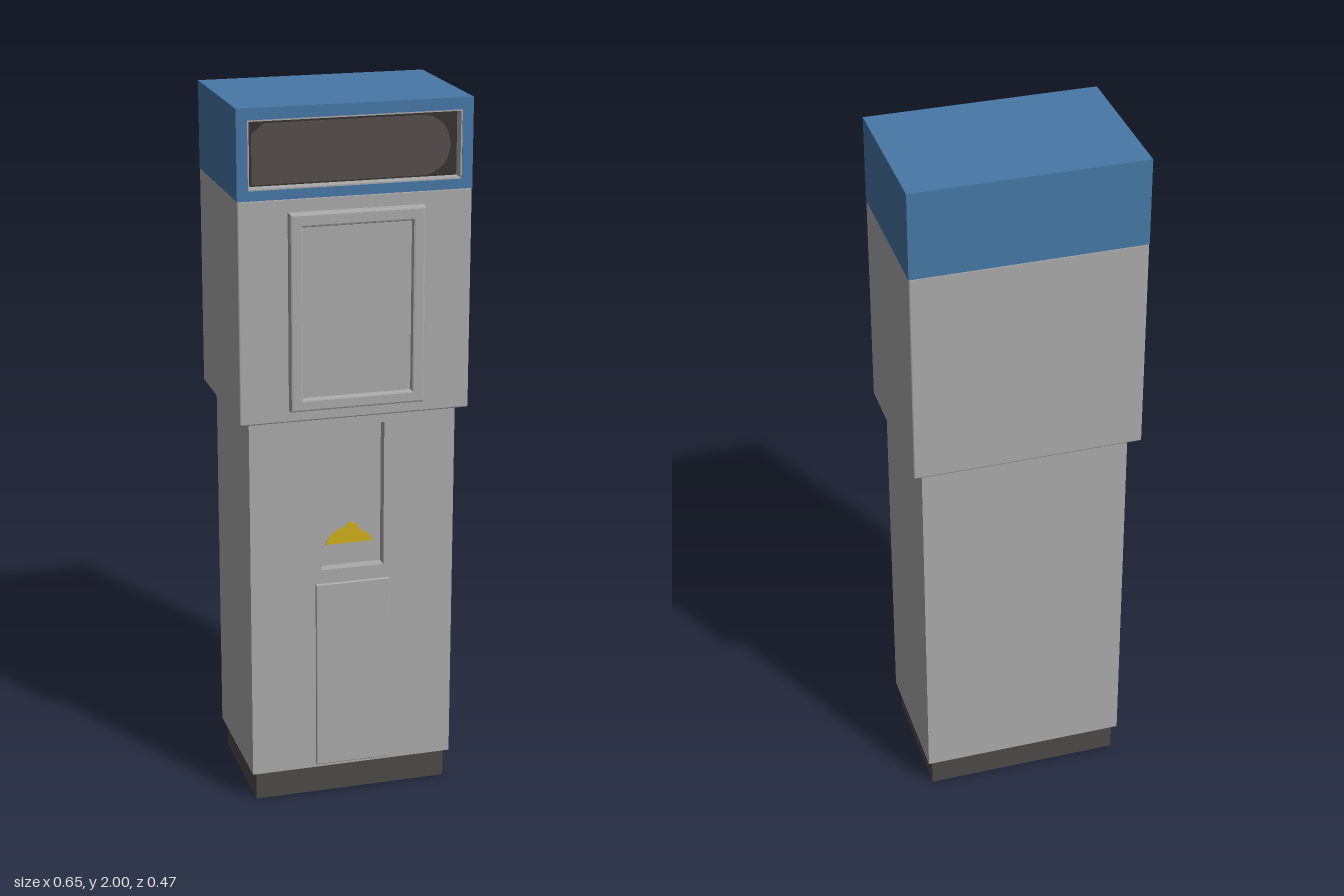
import * as THREE from 'three';
import { RoundedBoxGeometry } from 'three/addons/geometries/RoundedBoxGeometry.js';

const mat = (name, color) => {
  const m = new THREE.MeshStandardMaterial({ color });
  m.name = name;
  return m;
};

export function createModel() {
  const group = new THREE.Group();
  const grey = mat('light grey metal', 0xaaaaaa);
  const blue = mat('blue paint', 0x4678a6);
  const dark = mat('dark plinth', 0x4c4a47);
  const black = mat('screen surround', 0x36332f);
  const glass = mat('screen glass', 0x544e4c);
  const yellow = mat('yellow sign', 0xcfae1a);

  const add = (name, geometry, material) => {
    const mesh = new THREE.Mesh(geometry, material);
    mesh.name = name;
    group.add(mesh);
    return mesh;
  };
  // Box given by its limits, optionally with softened edges
  const box = (name, material, [x0, x1], [y0, y1], [z0, z1], r = 0) => {
    const s = [x1 - x0, y1 - y0, z1 - z0];
    const g = r ? new RoundedBoxGeometry(...s, 2, r) : new THREE.BoxGeometry(...s);
    g.translate((x0 + x1) / 2, (y0 + y1) / 2, (z0 + z1) / 2);
    return add(name, g, material);
  };
  const rect = (Type, [x0, x1], [y0, y1]) => new Type([
    new THREE.Vector2(x0, y0), new THREE.Vector2(x1, y0),
    new THREE.Vector2(x1, y1), new THREE.Vector2(x0, y1)]);
  // Upright plate with a rectangular opening
  const frame = (name, material, ox, oy, ix, iy, [z0, z1], bevel = 0) => {
    const s = rect(THREE.Shape, ox, oy);
    s.holes.push(rect(THREE.Path, ix, iy));
    const g = new THREE.ExtrudeGeometry(s, {
      depth: z1 - z0 - bevel, bevelEnabled: bevel > 0,
      bevelSize: bevel, bevelThickness: bevel, bevelOffset: -bevel, bevelSegments: 2 });
    g.translate(0, 0, z0);
    return add(name, g, material);
  };

  // Hollow plinth and column: four walls each, open below
  const walls = (name, material, hx, y, z0, z1, inX, inZ0, inZ1, withFront) => {
    for (const s of [-1, 1]) {
      box(name + 'Side', material, s < 0 ? [-hx, -inX] : [inX, hx], y, [z0, z1]);
    }
    box(name + 'Back', material, [-inX, inX], y, [z0, inZ0]);
    if (withFront) box(name + 'Front', material, [-inX, inX], y, [inZ1, z1]);
  };
  walls('plinth', dark, 0.28, [0, 0.085], -0.19, 0.17, 0.245, -0.155, 0.135, true);
  walls('column', grey, 0.293, [0.085, 1.14], -0.203, 0.185, 0.245, -0.155, 0.135, false);

  // Column front with a sunken niche
  frame('columnFront', grey, [-0.245, 0.245], [0.085, 1.14], [-0.09, 0.09], [0.69, 1.11], [0.135, 0.185]);
  box('nicheBack', grey, [-0.09, 0.09], [0.69, 1.11], [0.136, 0.152]);

  // Warning sign on the niche back
  const sign = new THREE.Shape([[-0.07, 0.752], [0.066, 0.752], [0.06, 0.77], [0.03, 0.79],
    [0.018, 0.808], [0, 0.815], [-0.016, 0.8], [-0.035, 0.793], [-0.058, 0.775]]
    .map(p => new THREE.Vector2(...p)));
  add('warningSign', new THREE.ExtrudeGeometry(sign, { depth: 0.002, bevelEnabled: false }), yellow)
    .position.z = 0.152;

  // Raised service door
  box('serviceDoor', grey, [-0.107, 0.107], [0.095, 0.65], [0.18, 0.194], 0.003);

  // Wide head
  box('head', grey, [-0.323, 0.323], [1.14, 1.757], [-0.235, 0.21], 0.005);

  // Panel with raised surround
  frame('panelFrame', grey, [-0.187, 0.187], [1.175, 1.72], [-0.152, 0.152], [1.21, 1.682], [0.2, 0.236], 0.006);
  box('panel', grey, [-0.156, 0.156], [1.206, 1.686], [0.2, 0.22]);

  // Blue cap with a framed display opening
  box('capBody', blue, [-0.323, 0.323], [1.755, 2], [-0.235, 0.172]);
  frame('capFront', blue, [-0.323, 0.323], [1.755, 2], [-0.293, 0.293], [1.782, 1.968], [0.172, 0.21]);
  frame('displayLining', grey, [-0.293, 0.293], [1.782, 1.968], [-0.289, 0.289], [1.786, 1.964], [0.172, 0.209]);
  box('displaySurround', black, [-0.289, 0.289], [1.786, 1.964], [0.17, 0.175]);

  // Display glass with a rounded right end
  const g = new THREE.Shape();
  g.moveTo(-0.275, 1.79);
  g.lineTo(0.2, 1.79);
  g.bezierCurveTo(0.295, 1.8, 0.295, 1.94, 0.2, 1.952);
  g.lineTo(-0.24, 1.952);
  g.lineTo(-0.275, 1.925);
  add('displayGlass', new THREE.ExtrudeGeometry(g, { depth: 0.002, bevelEnabled: false }), glass)
    .position.z = 0.175;

  return group;
}
